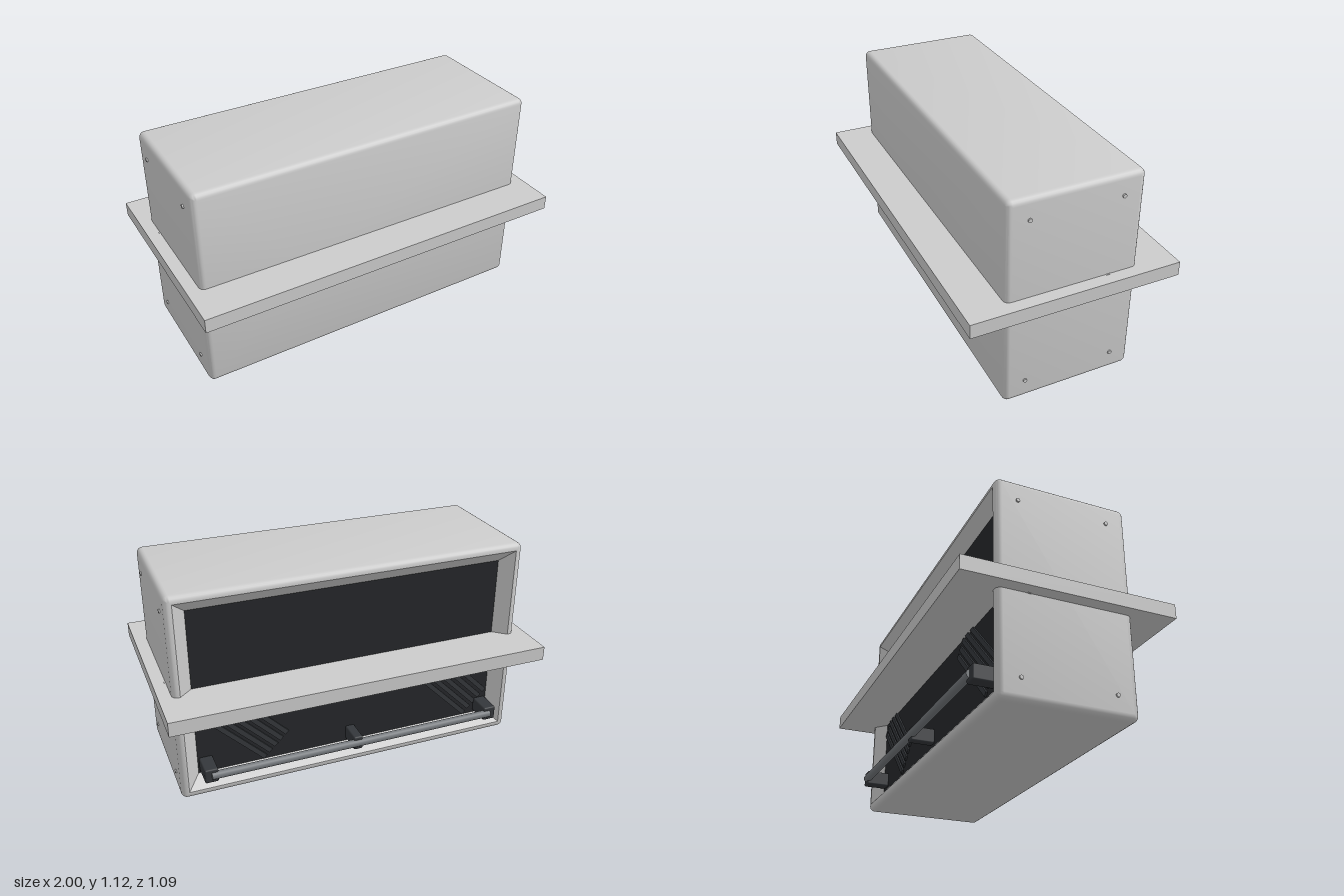
import * as THREE from 'three';
import { toCreasedNormals } from 'three/addons/utils/BufferGeometryUtils.js';
import { RoundedBoxGeometry } from 'three/addons/geometries/RoundedBoxGeometry.js';

const HALF_W = 0.935, HALF_H = 0.561, HALF_D = 0.345, MID_Y = 0.564, FILLET = 0.03;
const PANEL_Z = -0.285;

const grey = new THREE.MeshStandardMaterial({ color: 0xcccccc });
const steel = new THREE.MeshStandardMaterial({ color: 0x74787c });
const glass = new THREE.MeshStandardMaterial({ color: 0x25272a });
const black = new THREE.MeshStandardMaterial({ color: 0x34373b });

function add(parent, name, geometry, material, x = 0, y = 0, z = 0) {
  const mesh = new THREE.Mesh(geometry, material);
  mesh.name = name;
  mesh.position.set(x, y, z);
  parent.add(mesh);
  return mesh;
}

// Rounded rectangle, counter-clockwise, shrunk by an inset
function ring(inset, z, steps = 5) {
  const r = Math.max(FILLET - inset, 0), back = Math.max(inset, FILLET);
  const cx = HALF_W - back, cy = HALF_H - back, points = [];
  [[1, 1], [-1, 1], [-1, -1], [1, -1]].forEach(([sx, sy], q) => {
    for (let i = 0; i <= steps; i++) {
      const a = (q + i / steps) * Math.PI / 2;
      points.push([sx * cx + r * Math.cos(a), sy * cy + r * Math.sin(a), z]);
    }
  });
  return points;
}

// Housing shell: closed front, filleted edges, sloping frame around the back opening
function housingGeometry() {
  const rings = [ring(HALF_H, HALF_D)];
  const fillet = (i) => FILLET * (1 - Math.sin(i * Math.PI / 10));
  const depth = (i) => HALF_D - FILLET + FILLET * Math.cos(i * Math.PI / 10);
  for (let i = 0; i <= 5; i++) rings.push(ring(fillet(i), depth(i)));
  for (let i = 5; i >= 0; i--) rings.push(ring(fillet(i), -depth(i)));
  rings.push(ring(0.038, -HALF_D), ring(0.105, PANEL_Z));

  const n = rings[0].length, index = [];
  for (let i = 0; i < rings.length - 1; i++) {
    for (let j = 0; j < n; j++) {
      const a = i * n + j, b = i * n + (j + 1) % n;
      index.push(a, a + n, b, b, a + n, b + n);
    }
  }
  const geometry = new THREE.BufferGeometry();
  geometry.setAttribute('position', new THREE.Float32BufferAttribute(rings.flat(2), 3));
  geometry.setIndex(index);
  return toCreasedNormals(geometry, 0.5);
}

export function createModel() {
  const model = new THREE.Group();
  model.name = 'builtInCabinet';

  add(model, 'housing', housingGeometry(), grey, 0, MID_Y, 0);
  add(model, 'shelfSlab', new THREE.BoxGeometry(2, 0.075, 1.09), grey, 0, 0.566, 0);
  add(model, 'backPanel', new THREE.BoxGeometry(2 * HALF_W - 0.2, 2 * HALF_H - 0.2, 0.02),
    glass, 0, MID_Y, PANEL_Z + 0.008);

  // Two groups of slanted ribs on the back panel
  for (const x of [-0.585, 0.585]) {
    const ribs = new THREE.Group();
    ribs.name = 'slantedRibs';
    ribs.position.set(x, 0.35, PANEL_Z - 0.005);
    ribs.rotation.z = Math.PI / 4;
    for (let i = -2; i <= 2; i++) {
      add(ribs, 'rib', new THREE.BoxGeometry(0.48, 0.026, 0.012), black, 0, i * 0.043, 0);
    }
    model.add(ribs);
  }

  // Towel-bar style rail on three brackets
  const rail = new THREE.Group();
  rail.name = 'backRail';
  for (const [x, width] of [[-0.79, 0.07], [0, 0.05], [0.79, 0.07]]) {
    add(rail, 'railBracket', new RoundedBoxGeometry(width, 0.077, 0.127, 2, 0.008),
      black, x, 0.159, -0.3475);
  }
  const bar = add(rail, 'railBar', new THREE.CylinderGeometry(0.021, 0.021, 1.58, 24),
    steel, 0, 0.159, -0.405);
  bar.rotation.z = Math.PI / 2;
  model.add(rail);

  // Side screws, and a round cover behind the slab edge
  for (const side of [-1, 1]) {
    const disc = (name, r, y, z) => {
      const mesh = add(model, name, new THREE.CylinderGeometry(r, r, 0.014, 20),
        grey, side * HALF_W, y, z);
      mesh.rotation.z = Math.PI / 2;
    };
    for (const y of [0.11, 1.015]) {
      for (const z of [-0.235, 0.235]) disc('sideScrew', 0.01, y, z);
    }
    disc('sideCover', 0.04, 0.566, -0.187);
  }
  return model;
}
